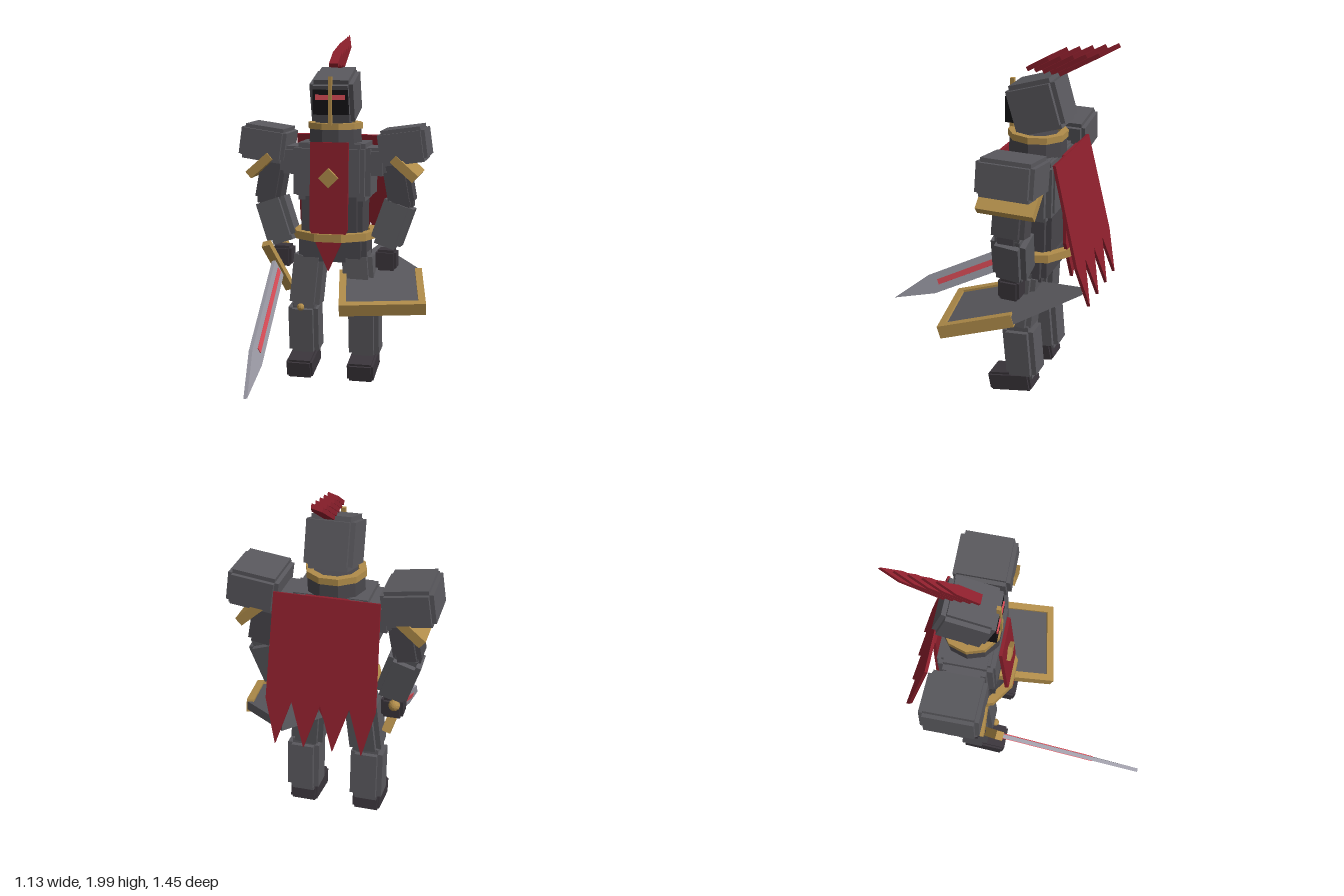
import * as THREE from 'three';

const mat = (name, color, side = THREE.FrontSide) => {
  const m = new THREE.MeshStandardMaterial({ color, side, flatShading: true });
  m.name = name;
  return m;
};

export function createModel() {
  const armour = mat('armour grey', 0x59585d);
  const dark = mat('dark joint grey', 0x48464b);
  const boot = mat('boot', 0x3a353b);
  const red = mat('red cloth', 0x8c1f2c);
  const gold = mat('gold trim', 0xb08c4a);
  const steel = mat('blade steel', 0x9d9ca7);
  const glow = mat('glowing red', 0xdc4d58);
  const black = mat('visor black', 0x131215);

  const model = new THREE.Group();
  model.name = 'knight';
  const body = new THREE.Group();
  body.name = 'body';
  body.position.x = -0.018;
  model.add(body);

  const add = (parent, name, geo, material, pos = [0, 0, 0], rot = [0, 0, 0]) => {
    const m = new THREE.Mesh(geo, material);
    m.name = name;
    m.position.set(...pos);
    m.rotation.set(...rot);
    parent.add(m);
    return m;
  };
  const box = (w, h, d) => new THREE.BoxGeometry(w, h, d);

  // Block with stepped edges: three overlapping boxes, each full size along one axis
  const block = (parent, name, [w, h, d], b, material, pos, rot = [0, 0, 0]) => {
    const g = new THREE.Group();
    g.name = name;
    g.position.set(...pos);
    g.rotation.set(...rot);
    add(g, name + 'Sides', box(w, h - 2 * b, d - 2 * b), material);
    add(g, name + 'Core', box(w - 2 * b, h, d - 2 * b), material);
    add(g, name + 'Faces', box(w - 2 * b, h - 2 * b, d), material);
    parent.add(g);
    return g;
  };

  // Flat plate from an outline, centred on its thickness
  const plate = (points, t) => {
    const shape = new THREE.Shape(points.map(([x, y]) => new THREE.Vector2(x, y)));
    return new THREE.ExtrudeGeometry(shape, { depth: t, bevelEnabled: false }).translate(0, 0, -t / 2);
  };

  // Ten-sided band with a flat facet at the front
  const band = (inner, outer, h) => new THREE.LatheGeometry(
    [[inner, -h / 2], [outer, -h / 2], [outer, h / 2], [inner, h / 2], [inner, -h / 2]]
      .map(([x, y]) => new THREE.Vector2(x, y)), 10, Math.PI / 10);

  // Torso
  block(body, 'chest', [0.45, 0.33, 0.29], 0.03, armour, [0, 1.22, -0.31]);
  block(body, 'upperChest', [0.39, 0.3, 0.31], 0.025, armour, [0, 1.23, -0.31]);
  block(body, 'shoulderBridge', [0.62, 0.16, 0.22], 0.02, armour, [0, 1.28, -0.31]);
  block(body, 'waist', [0.36, 0.28, 0.27], 0.03, dark, [0, 0.97, -0.31]);
  block(body, 'pelvis', [0.4, 0.16, 0.24], 0.03, dark, [0, 0.77, -0.31]);
  add(body, 'belt', band(0.205, 0.253, 0.045), gold, [0, 0.853, -0.312]).scale.z = 0.92;
  add(body, 'neck', new THREE.CylinderGeometry(0.15, 0.155, 0.1, 10, 1, false, Math.PI / 10),
    dark, [0, 1.425, -0.305]);
  add(body, 'collar', band(0.12, 0.16, 0.035), gold, [0, 1.48, -0.305]);

  // Head with visor
  block(body, 'helmet', [0.25, 0.27, 0.28], 0.025, armour, [0, 1.645, -0.32], [0.3, 0, 0]);
  add(body, 'visor', box(0.2, 0.14, 0.06), black, [0, 1.617, -0.185]);
  add(body, 'eyeSlit', box(0.17, 0.028, 0.009), glow, [0, 1.645, -0.153]);
  add(body, 'visorRidge', box(0.022, 0.27, 0.022), gold, [0, 1.625, -0.157]);

  // Plume of stacked pointed feathers
  for (let i = 0; i < 5; i++) {
    const k = i / 4, len = 0.24 + 0.11 * k;
    const feather = plate([[-0.026, 0], [0.026, 0], [0.026, len - 0.11], [0, len], [-0.026, len - 0.11]], 0.023);
    add(body, 'plumeFeather', feather, red, [0, 1.82 - 0.01 * k, -0.245 - 0.175 * k], [-Math.PI / 3, 0, 0]);
  }

  // Tabard front and back, with a diamond badge
  const tabard = plate([[-0.11, 0], [-0.11, -0.495], [0, -0.735], [0.11, -0.495], [0.11, 0]], 0.018);
  add(body, 'tabardFront', tabard, red, [0, 1.395, -0.138], [-0.04, 0, 0]);
  add(body, 'tabardBack', tabard, red, [0, 1.41, -0.487], [0.04, 0, 0]);
  add(body, 'tabardBadge', box(0.08, 0.08, 0.03), gold, [0, 1.195, -0.115], [0, 0, Math.PI / 4]);

  // Cape with a torn hem
  const hem = [[-0.29, -0.56]];
  for (let i = 0; i < 4; i++) {
    const x = -0.23 + i * 0.153;
    hem.push([x, -0.8]);
    hem.push(i < 3 ? [x + 0.0765, -0.56] : [0.29, -0.56]);
  }
  add(body, 'cape', plate([[-0.275, 0], ...hem, [0.275, 0]], 0.016), red, [0, 1.41, -0.492], [0.25, 0, 0]);

  // Arms and legs, mirrored
  for (const s of [-1, 1]) {
    const side = s > 0 ? 'left' : 'right';
    block(body, side + 'ShoulderPad', [0.27, 0.2, 0.31], 0.022, armour, [s * 0.405, 1.375, -0.32], [0, 0, s * 0.14]);
    add(body, side + 'ShoulderTrim', box(0.17, 0.05, 0.31), gold, [s * 0.42, 1.25, -0.31], [0, 0, -s * 0.72]);
    block(body, side + 'UpperArm', [0.15, 0.28, 0.18], 0.025, dark, [s * 0.375, 1.16, -0.31], [0, 0, s * 0.18]);
    block(body, side + 'Elbow', [0.14, 0.12, 0.13], 0.02, dark, [s * 0.39, 1.06, -0.305]);
    block(body, side + 'Forearm', [0.18, 0.29, 0.19], 0.03, armour, [s * 0.345, 0.925, -0.305], [-0.08, 0, -s * 0.33]);
    block(body, side + 'Hand', [0.12, 0.12, 0.12], 0.015, boot, [s * 0.31, 0.71, -0.285]);

    block(body, side + 'Thigh', [0.18, 0.34, 0.18], 0.028, armour, [s * 0.155, 0.575, -0.285], [-0.06, 0, s * 0.09]);
    block(body, side + 'Shin', [0.18, 0.32, 0.18], 0.028, armour, [s * 0.181, 0.275, -0.31], [0.1, 0, 0]);
    add(body, side + 'KneeStud', new THREE.SphereGeometry(0.022, 10, 8), gold, [s * 0.182, 0.42, -0.182]);
    block(body, side + 'Boot', [0.155, 0.11, 0.25], 0.012, boot, [s * 0.181, 0.077, -0.255], [0.19, 0, 0]);
  }

  // Group whose local x and y follow two given directions
  const aligned = (name, origin, xDir, yDir) => {
    const y = new THREE.Vector3(...yDir).normalize();
    const z = new THREE.Vector3(...xDir).cross(y).normalize();
    const x = new THREE.Vector3().crossVectors(y, z);
    const g = new THREE.Group();
    g.name = name;
    g.quaternion.setFromRotationMatrix(new THREE.Matrix4().makeBasis(x, y, z));
    g.position.set(...origin);
    model.add(g);
    return g;
  };

  // Sword: local y runs to the tip, local x along the guard
  const sword = aligned('sword', [-0.335, 0.66, -0.19], [-0.28, 0.83, 0.46], [0.07, -0.49, 0.91]);
  add(sword, 'blade', plate([[-0.06, 0], [0.06, 0], [0.06, 0.75], [0, 1.036], [-0.06, 0.75]], 0.022), steel);
  add(sword, 'bladeStripe', box(0.034, 0.66, 0.03), glow, [0, 0.37, 0]);
  add(sword, 'guard', box(0.35, 0.045, 0.05), gold);
  add(sword, 'grip', new THREE.CylinderGeometry(0.02, 0.02, 0.2, 8), boot, [0, -0.1, 0]);
  add(sword, 'pommel', new THREE.SphereGeometry(0.032, 10, 8), gold, [0, -0.21, 0]);

  // Shield: local y runs to the point, outer face turned down
  const shield = aligned('shield', [0.325, 0.495, 0.065], [0.98, 0.03, -0.19], [-0.183, 0.28, -0.94]);
  add(shield, 'shieldPanel',
    plate([[-0.235, 0.01], [0.235, 0.01], [0.235, 0.41], [0, 0.75], [-0.235, 0.41]], 0.045), armour);
  add(shield, 'shieldFrontRim', box(0.48, 0.04, 0.07), gold, [0, 0.02, 0]);
  for (const s of [-1, 1]) {
    add(shield, 'shieldSideRim', box(0.04, 0.41, 0.07), gold, [s * 0.22, 0.205, 0]);
  }
  add(shield, 'shieldBoss', box(0.15, 0.15, 0.03), red, [0, 0.31, -0.035]);

  return model;
}
